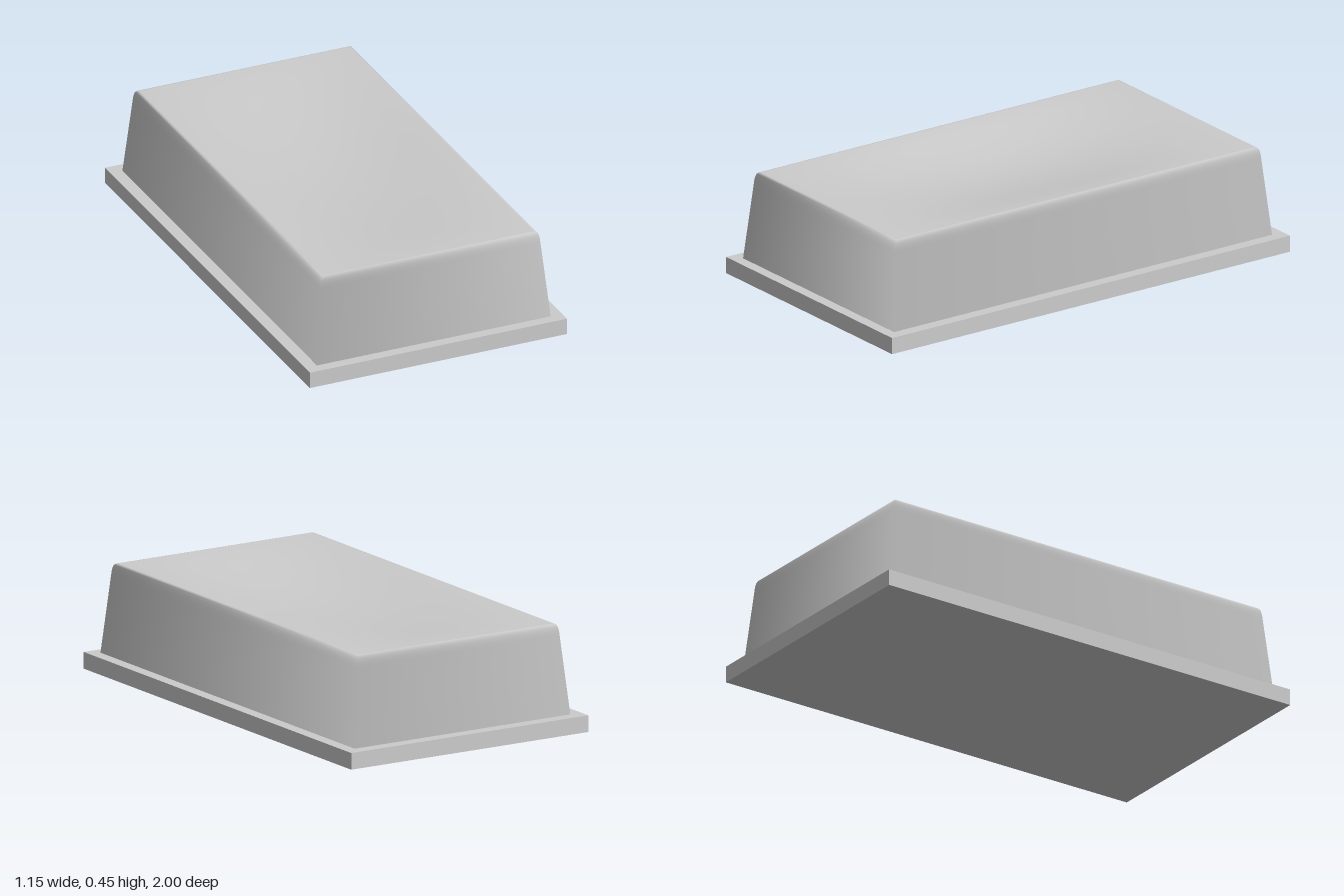
import * as THREE from 'three';

const material = new THREE.MeshStandardMaterial({ color: 0xcccccc });

// Tapered wall lofted from rectangular rings, smooth normals across its corners.
// profile rows: [inset from the foot, height]
function taperedWall(halfX, halfZ, profile) {
  const corners = [[1, 1], [1, -1], [-1, -1], [-1, 1]];
  const positions = [], normals = [], indices = [];
  const last = profile.length - 1;
  profile.forEach(([inset, y], i) => {
    // Normal of the profile at this ring; the top ring points straight up
    const p = profile[Math.max(i - 1, 0)], q = profile[Math.min(i + 1, last)];
    const n = i === last ? new THREE.Vector2(0, 1)
      : new THREE.Vector2(q[1] - p[1], q[0] - p[0]).normalize();
    for (const [sx, sz] of corners) {
      positions.push(sx * (halfX - inset), y, sz * (halfZ - inset));
      normals.push(sx * n.x * Math.SQRT1_2, n.y, sz * n.x * Math.SQRT1_2);
    }
  });
  for (let i = 0; i < last; i++) {
    for (let c = 0; c < 4; c++) {
      const a = i * 4 + c, b = i * 4 + (c + 1) % 4;
      indices.push(a, b, b + 4, a, b + 4, a + 4);
    }
  }
  const geometry = new THREE.BufferGeometry();
  geometry.setAttribute('position', new THREE.Float32BufferAttribute(positions, 3));
  geometry.setAttribute('normal', new THREE.Float32BufferAttribute(normals, 3));
  geometry.setIndex(indices);
  return geometry;
}

// Rectangular panel that sinks gently towards its middle
function dishedPanel(halfX, halfZ, depth) {
  const geometry = new THREE.PlaneGeometry(halfX * 2, halfZ * 2, 24, 40).rotateX(-Math.PI / 2);
  const p = geometry.attributes.position;
  for (let i = 0; i < p.count; i++) {
    const u = p.getX(i) / halfX, v = p.getZ(i) / halfZ;
    p.setY(i, -depth * Math.max(0, (1 - u * u) * (1 - v * v)) ** 1.4);
  }
  geometry.computeVertexNormals();
  return geometry;
}

export function createModel() {
  const group = new THREE.Group();
  group.name = 'coveredTray';

  // Flat base plate
  const base = new THREE.Mesh(new THREE.BoxGeometry(1.15, 0.07, 2), material);
  base.name = 'basePlate';
  base.position.y = 0.035;
  group.add(base);

  // Tapered cover with a rounded top rim
  const halfX = 0.523, halfZ = 0.95, topInset = 0.052, topY = 0.448;
  const cover = new THREE.Group();
  cover.name = 'cover';
  cover.position.set(0.001, 0, 0.003);
  const wall = new THREE.Mesh(taperedWall(halfX, halfZ, [
    [0, 0.07], [0.0315, 0.4], [0.033, 0.416], [0.036, 0.432], [0.04, 0.442], [0.045, 0.447], [topInset, topY],
  ]), material);
  wall.name = 'coverWall';

  // Sunken top of the cover
  const top = new THREE.Mesh(dishedPanel(halfX - topInset, halfZ - topInset, 0.05), material);
  top.name = 'coverTop';
  top.position.y = topY;
  cover.add(wall, top);
  group.add(cover);

  return group;
}
